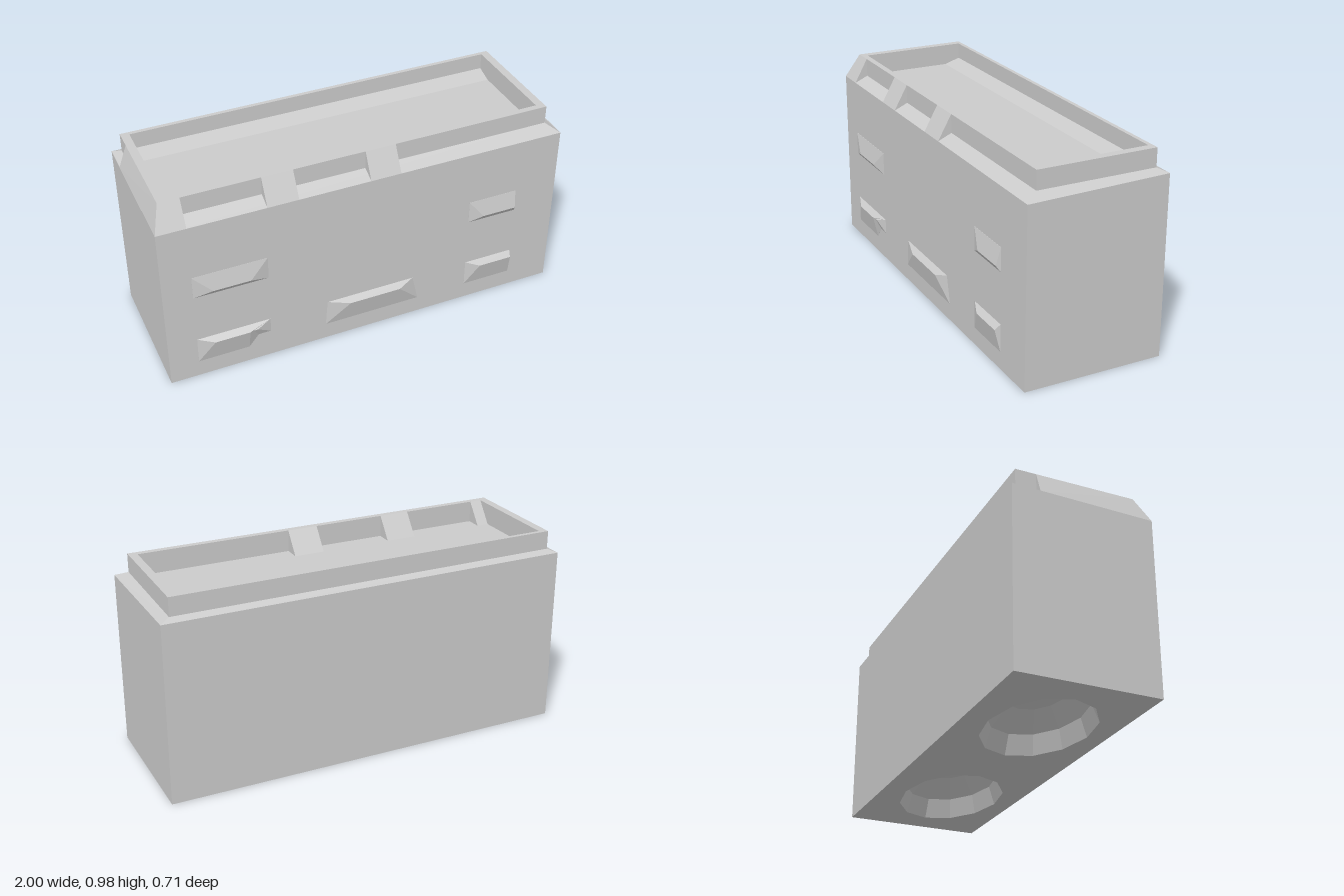
import * as THREE from 'three';
import { ConvexGeometry } from 'three/addons/geometries/ConvexGeometry.js';

const material = new THREE.MeshStandardMaterial({ color: 0xcccccc, flatShading: true });
const doubleMaterial = new THREE.MeshStandardMaterial({ color: 0xcccccc, flatShading: true, side: THREE.DoubleSide });

function addMesh(group, name, geometry, mat = material) {
  const mesh = new THREE.Mesh(geometry, mat);
  mesh.name = name;
  group.add(mesh);
  return mesh;
}

// Convex solid from a list of [x, y, z] corners
const hull = (points) => new ConvexGeometry(points.map((p) => new THREE.Vector3(...p)));

// Skin through rectangular rings, closed by the last ring
function ringSkin(rings) {
  const loops = rings.map(([x0, x1, zBack, zFront, yBack, yFront]) => [
    [x0, yFront, zFront], [x1, yFront, zFront], [x1, yBack, zBack], [x0, yBack, zBack],
  ]);
  const positions = [];
  const quad = (a, b, c, d) => positions.push(...a, ...b, ...c, ...a, ...c, ...d);
  for (let i = 0; i < loops.length - 1; i++) {
    for (let k = 0; k < 4; k++) {
      const n = (k + 1) % 4;
      quad(loops[i][k], loops[i][n], loops[i + 1][n], loops[i + 1][k]);
    }
  }
  quad(...loops[loops.length - 1]);
  const geometry = new THREE.BufferGeometry();
  geometry.setAttribute('position', new THREE.Float32BufferAttribute(positions, 3));
  geometry.computeVertexNormals();
  return geometry;
}

export function createModel() {
  const group = new THREE.Group();
  group.name = 'block';

  // Walls, chamfered shoulder, raised rim and sunken tray
  addMesh(group, 'body', ringSkin([
    [-1, 1, -0.355, 0.33, 0, 0],
    [-1, 1, -0.355, 0.327, 0.875, 0.86],
    [-0.96, 0.95, -0.32, 0.26, 0.89, 0.89],
    [-0.96, 0.95, -0.32, 0.26, 0.98, 0.98],
    [-0.92, 0.91, -0.3, 0.23, 0.98, 0.98],
    [-0.92, 0.91, -0.3, 0.23, 0.9, 0.875],
    [-0.92, 0.91, -0.22, 0.23, 0.875, 0.875],
  ]));

  // Underside with two oval openings
  const sides = 12, pitX = 0.35, pitZ = 0.24;
  const base = new THREE.Shape([[-1, -0.355], [1, -0.355], [1, 0.33], [-1, 0.33]].map((p) => new THREE.Vector2(...p)));
  const pitProfile = [[1, 0], [0.88, 0.09], [0.55, 0.17], [0, 0.2]].map((p) => new THREE.Vector2(...p));
  for (const cx of [-0.5, 0.5]) {
    const rim = [];
    for (let i = 0; i < sides; i++) {
      const a = (i / sides) * Math.PI * 2;
      rim.push(new THREE.Vector2(cx + pitX * Math.sin(a), pitZ * Math.cos(a)));
    }
    base.holes.push(new THREE.Path(rim));
    // Faceted hollow above each opening
    const pit = new THREE.LatheGeometry(pitProfile, sides).scale(pitX, 1, pitZ).translate(cx, 0, 0);
    addMesh(group, 'undersideHollow', pit, doubleMaterial);
  }
  addMesh(group, 'underside', new THREE.ShapeGeometry(base).rotateX(Math.PI / 2));

  // Wedge braces leaning against both sides of the front rim
  const braceProfile = [[0.86, 0.327], [0.98, 0.26], [0.98, 0.23], [0.875, 0.15]];
  for (const [x0, x1] of [[-0.92, -0.86], [-0.49, -0.34], [0.01, 0.16]]) {
    addMesh(group, 'rimBrace', hull([x0, x1].flatMap((x) => braceProfile.map(([y, z]) => [x, y, z]))));
  }

  // Corner brace, wrapping from the front onto the right end
  addMesh(group, 'cornerBraceFront', hull([
    [-1, 0.86, 0.327], [-0.86, 0.86, 0.327], [-0.96, 0.98, 0.26], [-0.86, 0.98, 0.26],
    [-0.96, 0.86, 0.26], [-0.86, 0.86, 0.26],
  ]));
  addMesh(group, 'cornerBraceSide', hull([
    [-1, 0.86, 0.327], [-1, 0.87, -0.22], [-0.96, 0.98, 0.26], [-0.96, 0.98, -0.22],
    [-0.96, 0.86, 0.26], [-0.96, 0.87, -0.22],
  ]));

  // Faceted stones: spans along x of top edge, ridge and bottom edge, then heights and depth
  const stones = [
    [[-0.86, -0.5], [-0.77, -0.59], [-0.86, -0.5], [0.585, 0.498, 0.47], 0.35],
    [[0.53, 0.78], [0.6, 0.772], [0.53, 0.78], [0.585, 0.5, 0.47], 0.35],
    [[-0.86, -0.5], [-0.78, -0.61], [-0.86, -0.61], [0.22, 0.195, 0.085], 0.355],
    [[-0.61, -0.5], [-0.61, -0.57], [-0.61, -0.5], [0.22, 0.195, 0.145], 0.35],
    [[-0.21, 0.24], [-0.1, 0.16], [-0.22, 0.27], [0.22, 0.195, 0.085], 0.355],
    [[0.53, 0.78], [0.6, 0.772], [0.53, 0.78], [0.22, 0.195, 0.085], 0.355],
  ];
  for (const [top, ridge, bottom, [yTop, yRidge, yBottom], depth] of stones) {
    addMesh(group, 'frontStone', hull([
      ...top.flatMap((x) => [[x, yTop, 0.329], [x, yTop, 0.31]]),
      ...ridge.map((x) => [x, yRidge, depth]),
      ...bottom.flatMap((x) => [[x, yBottom, 0.33], [x, yBottom, 0.31]]),
    ]));
  }

  return group;
}
